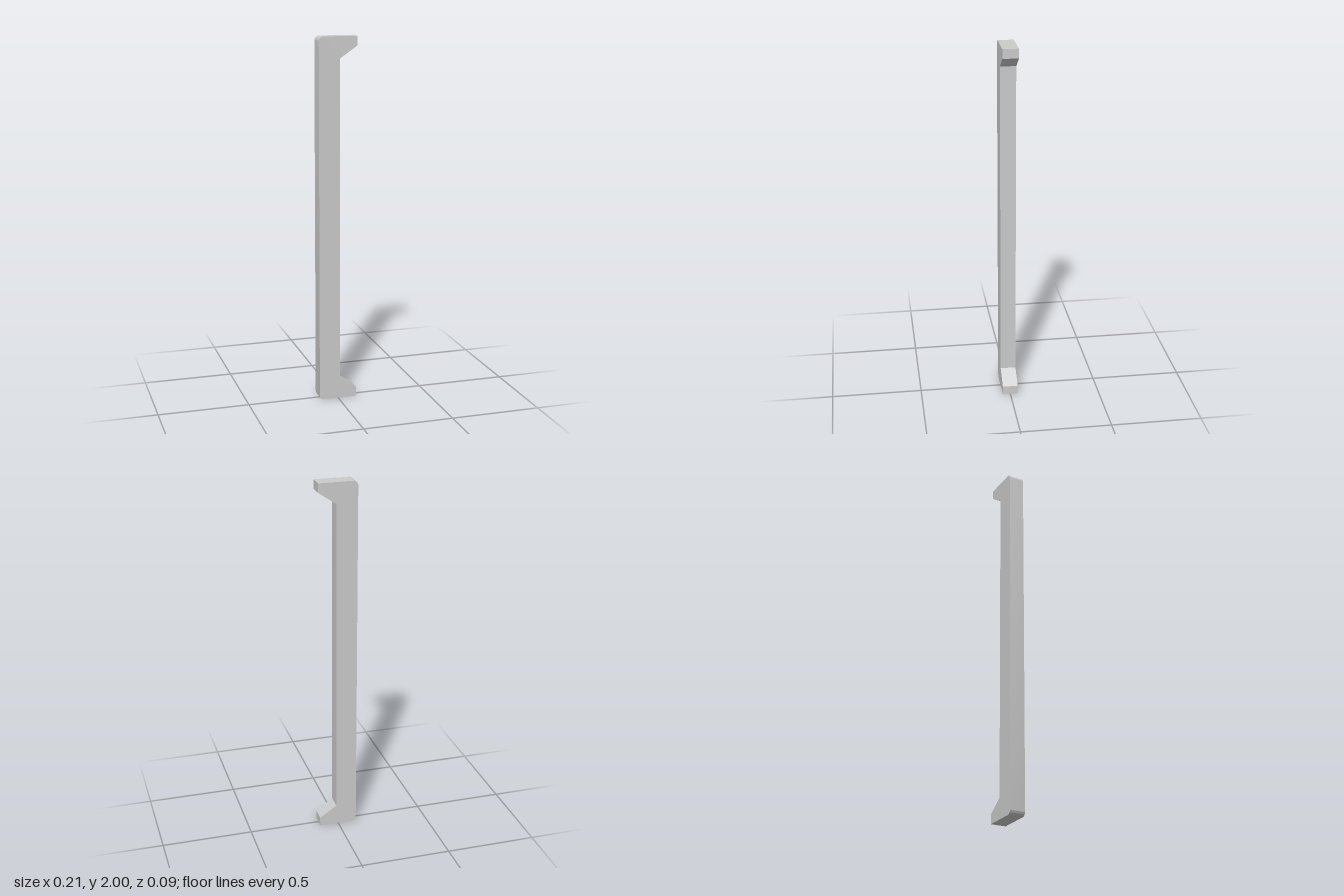
import * as THREE from 'three';
import { toCreasedNormals } from 'three/addons/utils/BufferGeometryUtils.js';

const HEIGHT = 2;
const HALF_WIDTH = 0.106;
const DEPTH = 0.085;
const RADIUS = 0.026;   // rounded outer corners
const INNER_X = 0.01;   // inner face of the grip bar
const TIP = 0.05;       // thickness of each foot at its end
const ROOT = 0.115;     // height where each foot meets the bar

export function createModel() {
  const model = new THREE.Group();
  model.name = 'pullHandle';

  // C-shaped side profile: straight bar with a tapered foot at each end
  const profile = new THREE.Shape();
  profile.moveTo(HALF_WIDTH, 0);
  profile.lineTo(HALF_WIDTH, TIP);
  profile.lineTo(INNER_X, ROOT);
  profile.lineTo(INNER_X, HEIGHT - ROOT);
  profile.lineTo(HALF_WIDTH, HEIGHT - TIP);
  profile.lineTo(HALF_WIDTH, HEIGHT);
  profile.absarc(-HALF_WIDTH + RADIUS, HEIGHT - RADIUS, RADIUS, Math.PI / 2, Math.PI, false);
  profile.absarc(-HALF_WIDTH + RADIUS, RADIUS, RADIUS, Math.PI, Math.PI * 1.5, false);
  profile.closePath();

  const solid = new THREE.ExtrudeGeometry(profile, { depth: DEPTH, bevelEnabled: false, curveSegments: 10 });
  solid.translate(0, 0, -DEPTH / 2);

  const handle = new THREE.Mesh(
    toCreasedNormals(solid, Math.PI / 6),
    new THREE.MeshStandardMaterial({ color: 0xcccccc })
  );
  handle.name = 'handleBar';
  model.add(handle);
  return model;
}
